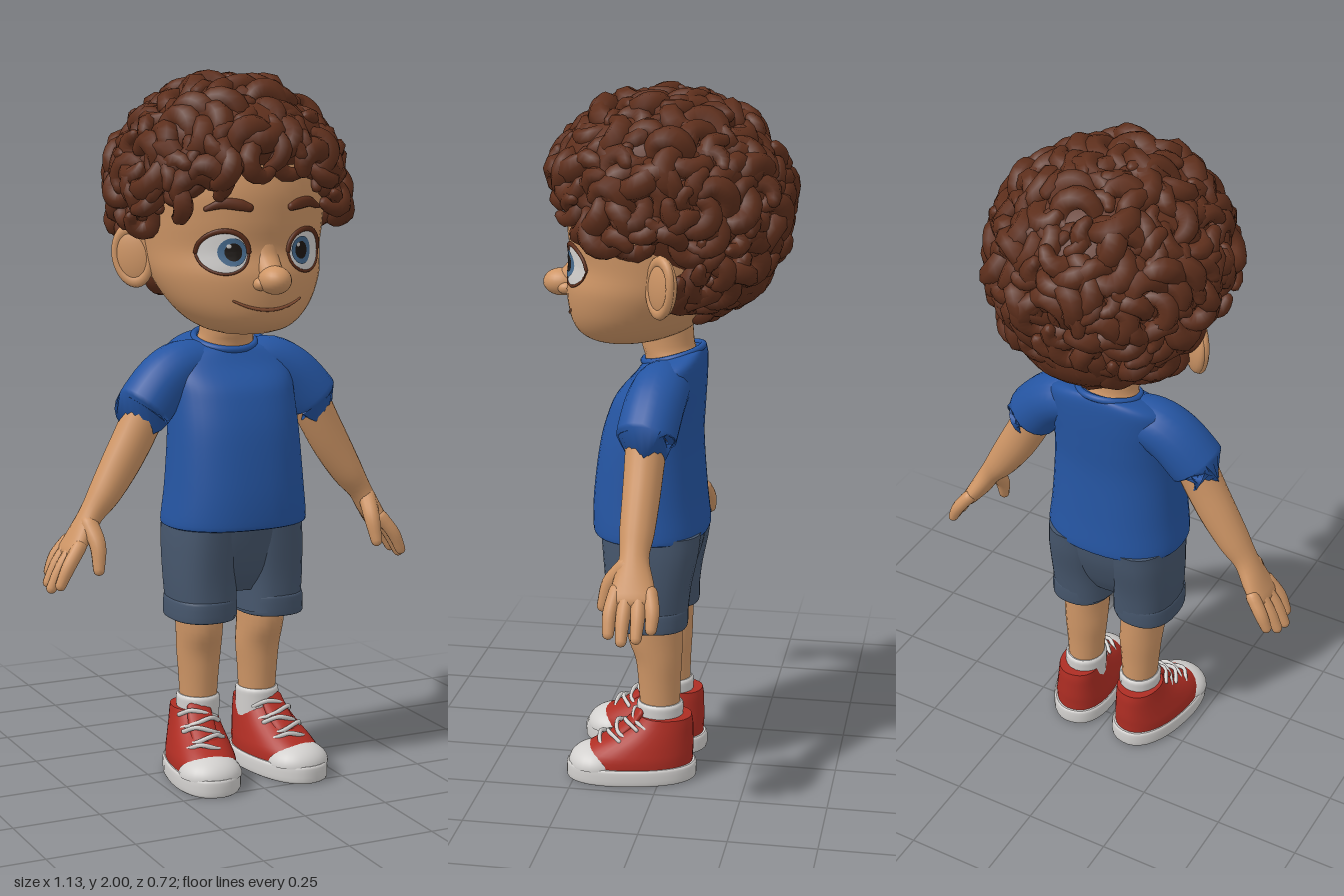
import * as THREE from 'three';
import { mergeGeometries } from 'three/addons/utils/BufferGeometryUtils.js';

const V = (x, y, z) => new THREE.Vector3(x, y, z);
const mat = (name, color) => Object.assign(new THREE.MeshStandardMaterial({ color }), { name });

// Sweeps an oval along keys [x, y, z, halfWidth, halfDepth]; "up" keeps the rings level
function sweep(keys, { sides = 20, steps = 16, up = false, round = false, p = 2 } = {}) {
  const path = new THREE.CatmullRomCurve3(keys.map(k => V(k[0], k[1], k[2])), false, 'catmullrom');
  const size = new THREE.CatmullRomCurve3(keys.map(k => V(k[3], k[4], 0)), false, 'catmullrom');
  const stops = [];
  for (let i = 0; i <= steps; i++) stops.push([i / steps, 0]);
  if (round) {
    for (const f of [0.55, 1.05, 1.5]) { stops.unshift([0, -f]); stops.push([1, f]); }
  }
  const pos = [], index = [], centres = [];
  const pw = v => Math.sign(v) * Math.abs(v) ** (2 / p);
  for (const [t, f] of stops) {
    const T = up ? V(0, 1, 0) : path.getTangent(t);
    const B = V(0, 0, 1).cross(T).normalize();
    const N = T.clone().cross(B).normalize();
    const s = size.getPoint(t);
    const c = path.getPoint(t).addScaledVector(T, Math.min(s.x, s.y) * Math.sin(f));
    centres.push(c);
    for (let j = 0; j < sides; j++) {
      const a = j / sides * Math.PI * 2;
      const q = c.clone().addScaledVector(B, pw(Math.cos(a)) * s.x * Math.cos(f))
        .addScaledVector(N, pw(Math.sin(a)) * s.y * Math.cos(f));
      pos.push(q.x, q.y, q.z);
    }
  }
  // Keys that run downwards with level rings need the opposite winding
  const flip = up && keys[0][1] > keys[keys.length - 1][1];
  const tri = (a, b, c) => flip ? index.push(a, c, b) : index.push(a, b, c);
  const last = stops.length - 1;
  for (let i = 0; i < last; i++) for (let j = 0; j < sides; j++) {
    const a = i * sides + j, b = i * sides + (j + 1) % sides;
    tri(a, b, a + sides);
    tri(b, b + sides, a + sides);
  }
  for (const ring of [0, last]) {
    const base = pos.length / 3;
    pos.push(...pos.slice(ring * sides * 3, (ring + 1) * sides * 3), ...centres[ring].toArray());
    for (let j = 0; j < sides; j++) {
      const a = base + j, b = base + (j + 1) % sides;
      if (ring) tri(base + sides, a, b); else tri(base + sides, b, a);
    }
  }
  const g = new THREE.BufferGeometry();
  g.setAttribute('position', new THREE.Float32BufferAttribute(pos, 3));
  g.setIndex(index);
  g.computeVertexNormals();
  return g;
}

export function createModel() {
  const model = new THREE.Group();
  model.name = 'curlyHairedBoy';
  const skin = mat('skin', 0xcf9666), hair = mat('hair', 0x5e2f1c), blue = mat('shirtBlue', 0x2555a2);
  const denim = mat('shortsSlate', 0x46566c), red = mat('shoeRed', 0xae2d23), white = mat('white', 0xd2d0ce);
  const iris = mat('irisBlue', 0x476b8e), black = mat('pupilBlack', 0x1c1714), lip = mat('mouthBrown', 0x8a5236);
  const add = (parent, name, g, m) => {
    const mesh = new THREE.Mesh(g, m);
    mesh.name = name;
    parent.add(mesh);
    return mesh;
  };
  const ball = (parent, name, m, c, r, arc = Math.PI) => {
    const b = add(parent, name, new THREE.SphereGeometry(1, 24, 16, 0, Math.PI * 2, 0, arc), m);
    b.position.set(...c);
    b.scale.set(...r);
  };

  // Head and neck
  const head = add(model, 'head', sweep([
    [0, 1.285, .13, .07, .06], [0, 1.30, .12, .12, .115], [0, 1.33, .10, .165, .165], [0, 1.38, .08, .207, .20],
    [0, 1.45, .05, .24, .235], [0, 1.52, .025, .252, .245], [0, 1.60, .02, .262, .26], [0, 1.70, .01, .27, .27],
    [0, 1.82, .01, .22, .23], [0, 1.90, .01, .1, .1]], { up: true, sides: 48, steps: 45 }), skin);
  add(model, 'neck', sweep([[0, 1.15, -.01, .09, .07], [0, 1.24, -.015, .086, .08], [0, 1.28, 0, .078, .075],
    [0, 1.38, .01, .08, .08]], { up: true }), skin);

  // Face details follow the head surface
  const ray = new THREE.Raycaster();
  const faceZ = (x, y) => {
    ray.set(V(x + 1e-4, y + 1e-4, 1), V(0, 0, -1));
    const hit = ray.intersectObject(head)[0];
    return hit ? hit.point.z : 0.2;
  };
  const plate = (name, m, cx, cy, rx, ry, off, bulge) => {
    const g = new THREE.RingGeometry(0.001, 1, 28, 5), a = g.attributes.position;
    for (let i = 0; i < a.count; i++) {
      const u = a.getX(i), v = a.getY(i), x = cx + u * rx, y = cy + v * ry;
      a.setXYZ(i, x, y, faceZ(x, y) + off + bulge * (1 - u * u - v * v));
    }
    g.computeVertexNormals();
    add(model, name, g, m);
  };
  const stroke = (name, m, pts, r, off) => add(model, name,
    sweep(pts.map(([x, y, k = 1]) => [x, y, faceZ(x, y) + off, r * k, r * .7]), { sides: 10, steps: 20, round: true }), m);
  for (const s of [-1, 1]) {
    plate('eyeWhite', white, s * .122, 1.517, .062, .056, .003, .006);
    plate('iris', iris, s * .104, 1.518, .036, .038, .0095, .001);
    plate('pupil', black, s * .102, 1.518, .022, .024, .0115, .001);
    plate('eyeGlint', white, s * .102 - .012, 1.534, .006, .006, .0135, .001);
    const arc = (from, to, n) => Array.from({ length: n }, (_, i) => {
      const a = from + (to - from) * i / (n - 1);
      return [s * .122 + .063 * Math.cos(a), 1.517 + .058 * Math.sin(a)];
    });
    stroke('upperLashes', hair, arc(0, Math.PI, 9), .007, .004);
    stroke('lowerLashes', hair, arc(-.1, .1 - Math.PI, 8), .004, .003);
    stroke('eyebrow', hair, [[s * .062, 1.637, .8], [s * .09, 1.645, 1.1], [s * .13, 1.648, 1], [s * .168, 1.634, .5]], .014, .004);
    ball(model, 'nostril', skin, [s * .033, 1.432, .285], [.02, .018, .025]);
  }
  stroke('mouth', lip, Array.from({ length: 11 }, (_, i) => {
    const u = i / 5 - 1;
    return [u * .1, 1.36 + .026 * u * u, 1 - .4 * u * u];
  }), .005, .001);
  ball(model, 'noseTip', skin, [0, 1.443, .305], [.044, .039, .053]);
  add(model, 'noseBridge', sweep([[0, 1.45, .285, .035, .035], [0, 1.5, .253, .036, .028], [0, 1.57, .24, .036, .024]],
    { round: true }), skin);

  // Hair: rounded cores under spiral curls
  ball(model, 'hairCore', hair, [0, 1.69, -.04], [.29, .265, .27]);
  ball(model, 'crownCore', hair, [0, 1.81, .03], [.265, .145, .268]);
  ball(model, 'napeCore', hair, [0, 1.51, -.13], [.2, .13, .17]);
  const spiral = (turn, r0, thick) => sweep(Array.from({ length: 8 }, (_, i) => {
    const t = i / 7, a = t * turn, r = r0 * (1 - .35 * t), w = thick * (.6 + .4 * Math.sin(t * Math.PI));
    return [r * Math.cos(a), r * Math.sin(a), .035 * t - .012, w, w];
  }), { sides: 7, steps: 12, round: true });
  const kinds = [spiral(4.6, .047, .029), spiral(-5, .044, .028), spiral(3.6, .045, .031)];
  let seed = 7;
  const rnd = () => (seed = (seed * 16807) % 2147483647) / 2147483647;
  const curls = [], total = 370;
  for (let i = 0; i < total; i++) {
    const dy = 1 - 2 * (i + .5) / total, h = Math.sqrt(1 - dy * dy), a = i * 2.39996;
    const n = V(h * Math.cos(a), dy, h * Math.sin(a));
    const q = V(n.x * .293, 1.675 + n.y * (n.y > 0 ? .272 : .295), n.z * .305);
    const line = q.z > .12 ? 1.74 - .12 * Math.min(1, (q.x / .25) ** 2) : q.z > .05 ? 1.59 : q.z > -.07 ? 1.62 : 1.3;
    if (q.y < line) continue;
    const turn = new THREE.Quaternion().setFromUnitVectors(V(0, 0, 1), n)
      .multiply(new THREE.Quaternion().setFromEuler(new THREE.Euler(.1 + rnd() * .8, 0, rnd() * 6.28, 'ZXY')));
    const s = .9 + rnd() * .35;
    curls.push(kinds[i % 3].clone().applyMatrix4(new THREE.Matrix4().compose(q, turn, V(s, s, s))));
  }
  add(model, 'curls', mergeGeometries(curls), hair);

  // Shirt body, sloping forward at the neckline
  const body = sweep([
    [0, .735, .045, .203, .158], [0, .75, .046, .21, .166], [0, .85, .05, .2, .16], [0, 1.0, .045, .19, .145],
    [0, 1.1, .028, .186, .132], [0, 1.17, .01, .188, .118], [0, 1.22, -.008, .18, .1], [0, 1.245, -.015, .14, .088],
    [0, 1.255, -.015, .09, .08]],
  { up: true, sides: 40, steps: 40, p: 2.3 });
  const bp = body.attributes.position;
  for (let i = 0; i < bp.count; i++) {
    const f = THREE.MathUtils.smoothstep(bp.getY(i), 1.1, 1.25);
    bp.setY(i, bp.getY(i) - (bp.getZ(i) + .02) * .28 * f);
  }
  body.computeVertexNormals();
  add(model, 'shirtBody', body, blue);
  const collar = add(model, 'collar', new THREE.TorusGeometry(.087, .01, 10, 40), blue);
  collar.position.set(0, 1.251, -.015);
  collar.rotation.x = Math.PI / 2 + .27;

  // Seat of the shorts
  add(model, 'shortsSeat', sweep([[0, .545, .037, .1, .08], [0, .6, .037, .165, .108], [0, .68, .034, .185, .132],
    [0, .76, .035, .195, .145]], { up: true, sides: 36, p: 2.4 }), denim);

  // Limbs, ears and shoes for each side
  for (const s of [1, -1]) {
    const side = new THREE.Group();
    side.name = s > 0 ? 'leftSide' : 'rightSide';
    model.add(side);
    const limb = (name, m, keys, options) =>
      add(side, name, sweep(keys.map(([x, ...rest]) => [x * s, ...rest]), options), m);

    const ear = new THREE.Group();
    ear.name = 'ear';
    ear.position.set(s * .27, 1.495, -.03);
    ear.rotation.set(0, s * .75, s * -.18);
    side.add(ear);
    ball(ear, 'earBowl', skin, [0, 0, 0], [.062, .084, .024]);
    const rim = add(ear, 'earRim', new THREE.TorusGeometry(.05, .012, 10, 32), skin);
    rim.scale.y = 1.45;
    rim.position.z = .008;

    limb('sleeve', blue, [[.05, 1.185, -.01, .06, .07], [.135, 1.18, -.004, .074, .08], [.2, 1.142, .006, .079, .084],
      [.258, 1.077, .016, .081, .084], [.264, 1.069, .016, .076, .079]], { round: false });
    limb('arm', skin, [[.24, 1.1, .015, .06, .06], [.29, 1.0, .017, .058, .055], [.335, .92, .018, .055, .052],
      [.385, .84, .02, .046, .048], [.425, .785, .02, .034, .041], [.458, .73, .017, .03, .055],
      [.488, .685, .014, .024, .067]], { round: true, steps: 24 });
    [[-.044, .528, .62], [-.006, .545, .598], [.034, .55, .59], [.071, .537, .604]].forEach(([z, x, y]) =>
      limb('finger', skin, [[.476, .705, z * .8 + .003, .02, .021], [(.476 + x) / 2 + .006, (.705 + y) / 2, z, .019, .02],
        [x, y, z, .015, .016]], { sides: 12, steps: 8, round: true }));
    limb('thumb', skin, [[.44, .765, .04, .026, .026], [.432, .71, .085, .023, .023], [.437, .645, .105, .016, .017]],
      { sides: 12, steps: 10, round: true });

    limb('shortsLeg', denim, [[.1, .48, .045, .093, .116], [.104, .58, .04, .096, .122], [.1, .68, .034, .1, .136],
      [.095, .75, .033, .1, .143]], { sides: 28, up: true, p: 2.4 });
    limb('shortsCuff', denim, [[.107, .468, .045, .09, .114], [.107, .475, .045, .094, .119], [.106, .52, .045, .094, .12],
      [.105, .528, .045, .09, .116]], { sides: 28, up: true, p: 2.4, steps: 9 });
    limb('leg', skin, [[.094, .2, .008, .052, .058], [.094, .29, .01, .058, .062], [.094, .36, .012, .064, .068],
      [.097, .43, .022, .066, .08], [.1, .52, .022, .07, .08]], { up: true });
    limb('sock', white, [[.095, .13, .008, .06, .066], [.095, .2, .008, .062, .068], [.095, .222, .008, .062, .068],
      [.095, .23, .008, .056, .062]], { up: true, steps: 9 });

    const shoe = new THREE.Group();
    shoe.name = 'shoe';
    shoe.position.set(s * .106, 0, 0);
    shoe.rotation.y = s * .17;
    side.add(shoe);
    add(shoe, 'sole', sweep([[0, 0, .09, .094, .184], [0, .008, .09, .1, .19], [0, .042, .09, .1, .19],
      [0, .05, .09, .095, .185]], { up: true, sides: 36, steps: 9, p: 2.3 }), white);
    add(shoe, 'shoeUpper', sweep([[0, .03, .0875, .092, .176], [0, .07, .08, .092, .17], [0, .10, .06, .085, .152],
      [0, .14, .022, .074, .113], [0, .17, 0, .067, .09], [0, .192, -.01, .063, .076]],
    { up: true, sides: 36, p: 2.2 }), red);
    ball(shoe, 'toeCap', white, [0, .044, .19], [.09, .058, .084], Math.PI / 2);
    add(shoe, 'tongue', sweep([[0, .12, .14, .04, .02], [0, .17, .085, .038, .016], [0, .205, .06, .034, .012]],
      { round: true, steps: 10 }), red);
    for (let i = 0; i < 5; i++) {
      const t = i / 4, z = .18 - .1 * t, y = .118 + .072 * t, tilt = (i % 2 ? 1 : -1) * .008;
      add(shoe, 'lace', sweep([[-.055, y - .018 - tilt, z - .03, .007, .006], [-.025, y - tilt, z, .007, .006],
        [.025, y + tilt, z, .007, .006], [.055, y - .018 + tilt, z - .03, .007, .006]],
      { sides: 8, steps: 12, round: true }), white);
    }
  }
  return model;
}
